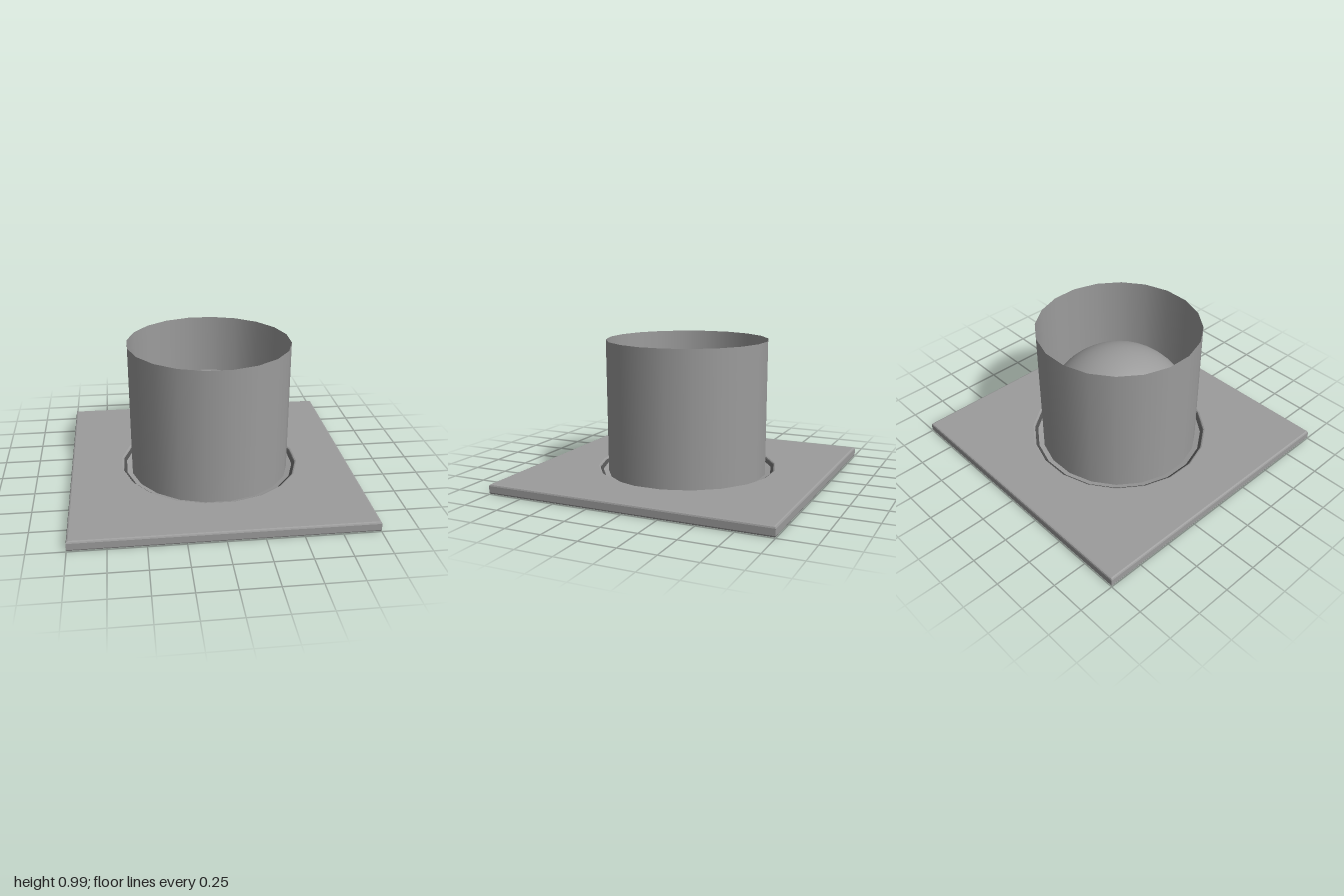
import * as THREE from 'three';
import { toCreasedNormals } from 'three/addons/utils/BufferGeometryUtils.js';

const SIDES = 20;
const TURN = Math.PI / SIDES; // half a side, so that flats face the axes

export function createModel() {
  const group = new THREE.Group();
  const solid = new THREE.MeshStandardMaterial({ color: 0x9c9c9c });
  const thin = new THREE.MeshStandardMaterial({ color: 0x9c9c9c, side: THREE.DoubleSide });
  const dark = new THREE.MeshStandardMaterial({ color: 0x505050, side: THREE.DoubleSide });

  function add(name, geometry, material, y = 0) {
    const mesh = new THREE.Mesh(geometry, material);
    mesh.name = name;
    mesh.position.y = y;
    group.add(mesh);
  }

  // Ring turned from a few (radius, height) points
  function addRing(name, points, material) {
    const profile = points.map(p => new THREE.Vector2(...p));
    add(name, toCreasedNormals(new THREE.LatheGeometry(profile, SIDES, TURN), 0.4), material);
  }

  // Square base plate with bevelled edges and a round opening
  const bevel = 0.013;
  const e = 1 - bevel;
  const plate = new THREE.Shape([[-e, -e], [e, -e], [e, e], [-e, e]].map(p => new THREE.Vector2(...p)));
  const opening = [];
  for (let i = 0; i < SIDES; i++) {
    const a = TURN - i * 2 * TURN;
    opening.push(new THREE.Vector2(0.642 * Math.cos(a), 0.642 * Math.sin(a)));
  }
  plate.holes.push(new THREE.Path(opening));
  const plateGeometry = new THREE.ExtrudeGeometry(plate, {
    depth: 0.07 - 2 * bevel, bevelEnabled: true, bevelThickness: bevel, bevelSize: bevel, bevelSegments: 2,
  });
  plateGeometry.rotateX(-Math.PI / 2);
  add('basePlate', toCreasedNormals(plateGeometry, 0.3), solid, bevel);

  // Dark gasket against the wall of the opening
  addRing('gasket', [[0.608, 0.012], [0.628, 0.008], [0.63, 0.035], [0.628, 0.06], [0.608, 0.045]], dark);

  // Ledge between the gasket and the sleeve
  addRing('openingLedge', [[0.57, 0.02], [0.608, 0.012], [0.608, 0.045], [0.57, 0.035], [0.57, 0.02]], thin);

  // Thin open sleeve, slightly narrower at the foot
  const sleeve = new THREE.CylinderGeometry(0.574, 0.569, 0.965, SIDES, 1, true, TURN);
  add('sleeve', sleeve, thin, 0.02 + 0.965 / 2);

  // Hollow dome inside the sleeve, open underneath
  const dome = new THREE.SphereGeometry(0.555, 32, 20, 0, Math.PI * 2, 0, 1.71);
  add('dome', dome, thin, 0.185);

  return group;
}
